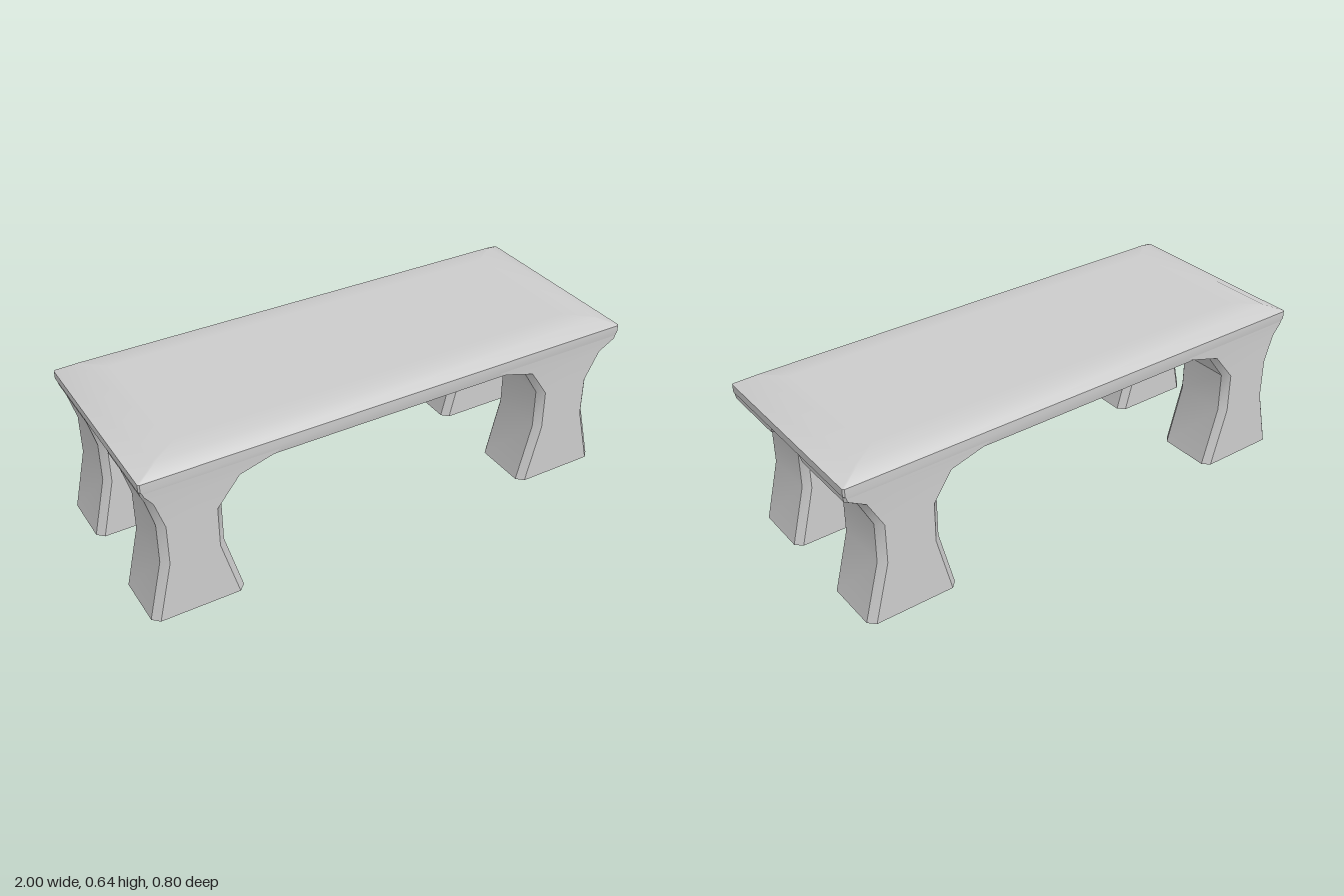
import * as THREE from 'three';
import { toCreasedNormals } from 'three/addons/utils/BufferGeometryUtils.js';

const material = new THREE.MeshStandardMaterial({ color: 0xcccccc });

// Rectangle with cut corners at height y, counterclockwise seen from above
function section({ y, x0, x1, z0, z1, c }) {
  const cx = (x0 + x1) / 2, cz = (z0 + z1) / 2;
  const hx = (x1 - x0) / 2, hz = (z1 - z0) / 2;
  return [
    [hx, hz - c], [hx, c - hz], [hx - c, -hz], [c - hx, -hz],
    [-hx, c - hz], [-hx, hz - c], [c - hx, hz], [hx - c, hz],
  ].map(([x, z]) => [cx + x, y, cz + z]);
}

// Capped solid through sections listed from bottom to top
function loft(name, sections, crease) {
  const rings = sections.map(section);
  const n = rings[0].length, last = (rings.length - 1) * n;
  const index = [];
  for (let r = 0; r < rings.length - 1; r++) {
    for (let i = 0; i < n; i++) {
      const a = r * n + i, b = r * n + (i + 1) % n;
      index.push(a, b, b + n, a, b + n, a + n);
    }
  }
  for (let i = 1; i < n - 1; i++) {
    index.push(0, i + 1, i, last, last + i, last + i + 1);
  }
  const geometry = new THREE.BufferGeometry();
  geometry.setAttribute('position', new THREE.Float32BufferAttribute(rings.flat(2), 3));
  geometry.setIndex(index);
  const mesh = new THREE.Mesh(toCreasedNormals(geometry, crease), material);
  mesh.name = name;
  return mesh;
}

export function createModel() {
  const bench = new THREE.Group();
  bench.name = 'bench';

  // Seat slab with bevelled rim and softly shaded top
  const slab = [
    [0.547, 0.965, 0.394], [0.575, 1, 0.4], [0.606, 1, 0.4],
    [0.64, 0.92, 0.35], [0.641, 0.82, 0.27],
  ].map(([y, x, z]) => ({ y, x0: -x, x1: x, z0: -z, z1: z, c: 0.006 }));
  bench.add(loft('seat', slab, 0.75));

  // Leg profiles: height, left edge, right edge; waisted, flaring into the seat
  const profiles = {
    right: [[0, -1, -0.64], [0.24, -0.945, -0.705], [0.4, -0.945, -0.705],
      [0.51, -0.975, -0.62], [0.55, -0.992, -0.5], [0.575, -0.998, -0.46]],
    left: [[0, 0.58, 0.945], [0.24, 0.64, 0.885], [0.4, 0.64, 0.885],
      [0.51, 0.57, 0.94], [0.55, 0.45, 0.995], [0.575, 0.4, 0.998]],
  };
  const inner = [0.135, 0.135, 0.135, 0.135, 0.105, 0.09];
  const outer = [0.395, 0.395, 0.395, 0.395, 0.397, 0.398];
  const cut = [0.026, 0.026, 0.026, 0.022, 0.01, 0.006];
  for (const [side, profile] of Object.entries(profiles)) {
    for (const s of [1, -1]) {
      const sections = profile.map(([y, x0, x1], i) => ({
        y, x0, x1, c: cut[i],
        z0: s > 0 ? inner[i] : -outer[i],
        z1: s > 0 ? outer[i] : -inner[i],
      }));
      bench.add(loft(`${s > 0 ? 'front' : 'back'} ${side} leg`, sections, 0.6));
    }
  }
  return bench;
}
